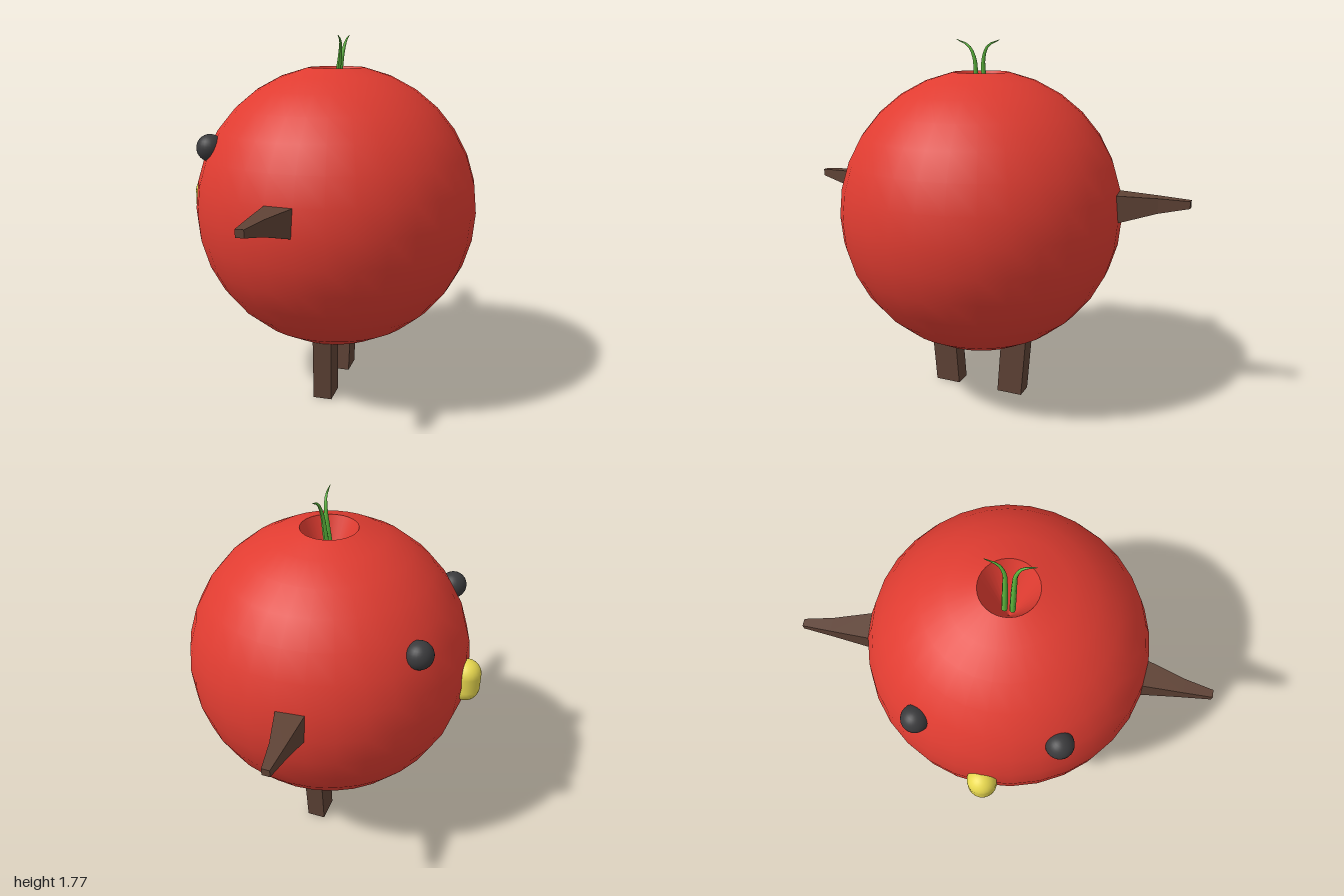
import * as THREE from 'three';

const RED = 0xe03c31, BROWN = 0x5f4336, GREEN = 0x5cb53c, YELLOW = 0xe8d84f, BLACK = 0x3a3a3c;
const R = 0.692, CX = 0.03, CY = 0.944;

function part(name, geometry, color, flat = false) {
  const mesh = new THREE.Mesh(geometry, new THREE.MeshStandardMaterial({ color, flatShading: flat }));
  mesh.name = name;
  return mesh;
}

// Rectangular cross-sections [x0, x1, y0, y1, z] joined along +z, capped at both ends
function loft(sections) {
  const pos = [], idx = [];
  for (const [x0, x1, y0, y1, z] of sections) pos.push(x0, y0, z, x1, y0, z, x1, y1, z, x0, y1, z);
  const last = (sections.length - 1) * 4;
  for (let s = 0; s < last; s += 4) {
    for (let i = 0; i < 4; i++) {
      const a = s + i, b = s + (i + 1) % 4;
      idx.push(a, b, b + 4, a, b + 4, a + 4);
    }
  }
  idx.push(0, 2, 1, 0, 3, 2, last, last + 1, last + 2, last, last + 2, last + 3);
  const g = new THREE.BufferGeometry();
  g.setAttribute('position', new THREE.Float32BufferAttribute(pos, 3));
  g.setIndex(idx);
  const flat = g.toNonIndexed();
  flat.computeVertexNormals();
  return flat;
}

// Tube that narrows towards its end
function taperedTube(points, radius) {
  const curve = new THREE.CatmullRomCurve3(points.map(p => new THREE.Vector3(...p)));
  const rows = 16, sides = 8;
  const g = new THREE.TubeGeometry(curve, rows, radius, sides, false);
  const p = g.attributes.position, v = new THREE.Vector3();
  for (let i = 0; i < p.count; i++) {
    const t = Math.floor(i / (sides + 1)) / rows;
    const c = curve.getPointAt(t);
    v.fromBufferAttribute(p, i).sub(c).multiplyScalar(1 - 0.9 * t ** 2.5).add(c);
    p.setXYZ(i, v.x, v.y, v.z);
  }
  g.computeVertexNormals();
  return g;
}

function createBody() {
  const body = new THREE.Group();
  body.name = 'body';
  const step = Math.PI / 16;
  const ring = i => new THREE.Vector2(R * Math.sin(i * step), -R * Math.cos(i * step));
  const lathe = (name, pts) => body.add(part(name, new THREE.LatheGeometry(pts, 32), RED));
  const skin = [];
  for (let i = 2; i <= 15; i++) skin.push(ring(i));
  lathe('skin', skin);
  // Hollows at the two poles
  const bottom = ring(2), top = ring(15);
  const inner = new THREE.Vector2(ring(1).x, bottom.y + 0.012);
  lathe('topHollow', [top, new THREE.Vector2(0, top.y - 0.3)]);
  lathe('bottomRing', [inner, bottom]);
  lathe('bottomHollow', [new THREE.Vector2(0, inner.y + 0.3), inner]);
  body.position.set(CX, CY, 0);
  return body;
}

// Arm, leg, eye and sprout of one side; s is +1 or -1 along z
function createSide(s) {
  const side = new THREE.Group();
  side.name = s > 0 ? 'frontSide' : 'backSide';

  const arm = loft([
    [-0.105, 0.03, 0.94, 1.077, 0.665],
    [-0.1, -0.03, 0.998, 1.069, 0.86],
    [-0.095, -0.058, 1.028, 1.062, 1.0],
  ]);
  // Leg is lofted along z, then stood up so that z becomes height
  const leg = loft([
    [-0.02, 0.072, -0.24, -0.11, 0],
    [-0.016, 0.078, -0.265, -0.133, 0.318],
  ]).rotateX(-Math.PI / 2);
  const eye = new THREE.SphereGeometry(0.065, 24, 16).translate(-0.497, 1.257, 0.322);
  const sprout = taperedTube([
    [0.02, 1.42, 0.018], [0.046, 1.62, 0.02], [0.055, 1.69, 0.024],
    [0.063, 1.745, 0.05], [0.066, 1.773, 0.11],
  ], 0.014);

  side.add(
    part('arm', arm, BROWN, true),
    part('leg', leg, BROWN, true),
    part('eye', eye, BLACK),
    part('sprout', sprout, GREEN),
  );
  side.scale.z = s;
  return side;
}

export function createModel() {
  const model = new THREE.Group();
  model.name = 'fruitBird';
  model.add(createBody(), createSide(1), createSide(-1));

  // Rounded beak
  const beak = part('beak', new THREE.CapsuleGeometry(0.07, 0.075, 8, 20), YELLOW);
  beak.position.set(-0.66, 0.943, 0);
  model.add(beak);
  return model;
}
